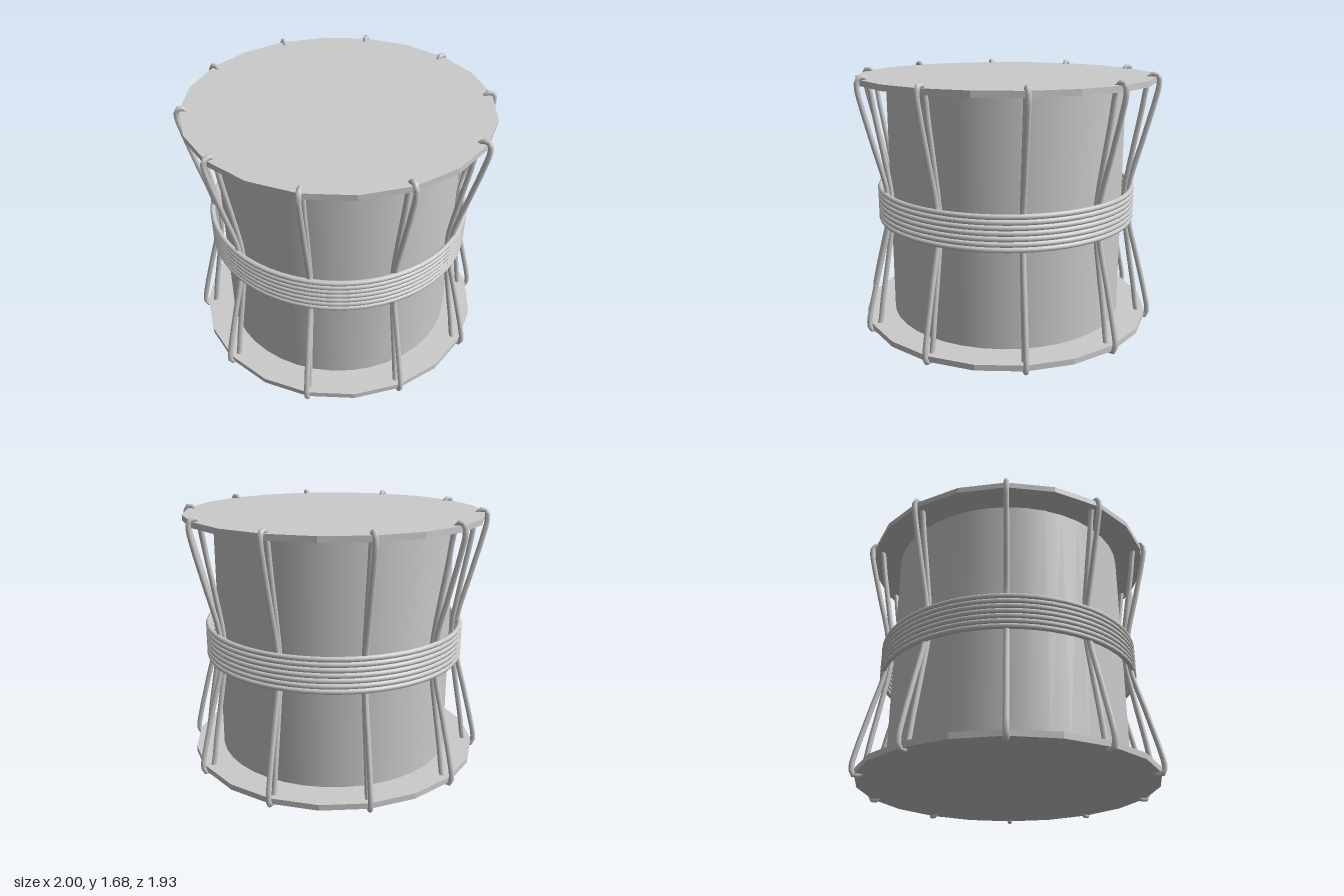
import * as THREE from 'three';

const ROPE = 0.017;      // cord radius
const MID = 0.845;       // height of the drum's middle

export function createModel() {
  const group = new THREE.Group();
  const mat = new THREE.MeshStandardMaterial({ color: 0xcccccc });
  const flat = new THREE.MeshStandardMaterial({ color: 0xcccccc, flatShading: true });
  const add = (name, geometry, material, y = 0) => {
    const mesh = new THREE.Mesh(geometry, material);
    mesh.name = name;
    mesh.position.y = y;
    group.add(mesh);
    return mesh;
  };

  // Drum shell
  add('shell', new THREE.CylinderGeometry(0.778, 0.778, 1.56, 40), mat, 0.855);

  // Faceted drum heads
  add('topHead', new THREE.CylinderGeometry(0.967, 0.967, 0.037, 20), flat, 1.637);
  add('bottomHead', new THREE.CylinderGeometry(0.967, 0.967, 0.037, 20), flat, 0.047);

  // Tension cord in its radial plane: a closed loop hooked over both heads.
  // Each point is [radius, height above the middle].
  const outer = [[0.825, 0], [0.83, 0.12], [0.905, 0.42], [0.965, 0.66], [0.985, 0.765], [0.978, 0.813]];
  const inner = [[0.953, 0.826], [0.925, 0.813], [0.91, 0.765], [0.885, 0.6], [0.84, 0.34], [0.803, 0.1], [0.8, 0]];
  const upper = [...outer, ...inner];
  const lower = upper.slice(1, -1).reverse().map(([r, h]) => [r, -h]);
  const path = [...upper, ...lower].map(([r, h]) => new THREE.Vector3(r, h, 0));
  const cord = new THREE.TubeGeometry(new THREE.CatmullRomCurve3(path, true), 110, ROPE, 8, true);
  for (let i = 0; i < 10; i++) {
    add('tensionCord', cord, mat, MID).rotation.y = (i * Math.PI) / 5;
  }

  // Seven cords wrapped round the waist
  const wrap = new THREE.TorusGeometry(0.842, ROPE, 8, 60).rotateX(Math.PI / 2);
  for (let i = 0; i < 7; i++) add('waistWrap', wrap, mat, 0.732 + i * 0.033);

  return group;
}
